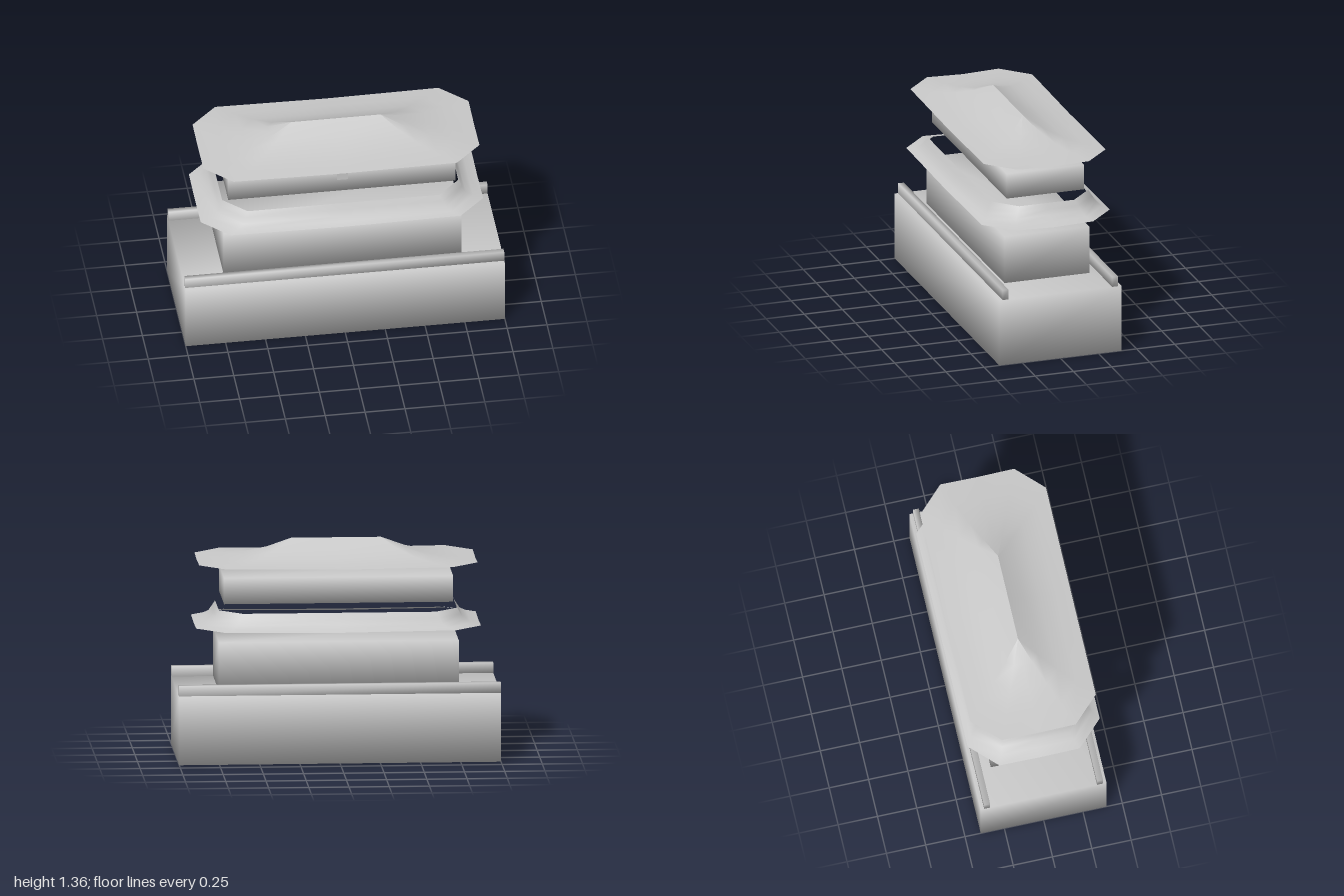
import * as THREE from 'three';
import { mergeVertices } from 'three/addons/utils/BufferGeometryUtils.js';

const stone = new THREE.MeshStandardMaterial({ color: 0xc8c8c8 });
stone.name = 'paleGrey';
const sheet = new THREE.MeshStandardMaterial({ color: 0xc8c8c8, side: THREE.DoubleSide });
sheet.name = 'paleGreySheet';

function addMesh(group, name, geometry, material = stone) {
  const mesh = new THREE.Mesh(geometry, material);
  mesh.name = name;
  group.add(mesh);
  return mesh;
}

// Box with normals shared across its edges, standing from y0 to y1
function softBox(width, y0, y1, depth, z = 0) {
  let g = new THREE.BoxGeometry(width, y1 - y0, depth);
  g.deleteAttribute('normal');
  g.deleteAttribute('uv');
  g = mergeVertices(g);
  g.computeVertexNormals();
  return g.translate(0, (y0 + y1) / 2, z);
}

// Chamfered rectangle, with the middle of each side sagging a little
function octagon(hx, hz, cut, y, sag = 0) {
  const x = hx - cut, z = hz - cut;
  return [
    [hx, y - sag, 0], [hx, y, z], [x, y, hz],
    [0, y - sag, hz], [-x, y, hz], [-hx, y, z],
    [-hx, y - sag, 0], [-hx, y, -z], [-x, y, -hz],
    [0, y - sag, -hz], [x, y, -hz], [hx, y, -z],
  ];
}

// Smooth skin over a stack of rings, listed from the eave upwards
function loft(rings) {
  const n = rings[0].length, index = [];
  for (let r = 0; r < rings.length - 1; r++) {
    for (let i = 0; i < n; i++) {
      const a = r * n + i, a2 = r * n + (i + 1) % n;
      index.push(a, a + n, a2, a2, a + n, a2 + n);
    }
  }
  const g = new THREE.BufferGeometry();
  g.setAttribute('position', new THREE.Float32BufferAttribute(rings.flat(2), 3));
  g.setIndex(index);
  g.computeVertexNormals();
  return g;
}

export function createModel() {
  const model = new THREE.Group();
  model.name = 'gateTower';

  // Base and its two parapets
  addMesh(model, 'base', softBox(2, 0, 0.43, 0.8));
  for (const side of [1, -1]) {
    addMesh(model, side > 0 ? 'frontParapet' : 'backParapet',
      softBox(2, 0.43, 0.495, 0.038, side * 0.359));
  }

  // Two storeys
  addMesh(model, 'lowerStorey', softBox(1.49, 0.44, 0.747, 0.556));
  addMesh(model, 'upperStorey', softBox(1.424, 0.985, 1.148, 0.506));

  // Blank plaque hung before the upper storey
  addMesh(model, 'plaque', new THREE.PlaneGeometry(0.07, 0.11), sheet)
    .position.set(0, 1.141, 0.28);

  // Lower roof: an open skirt with an underside along the eave
  const skirt = [
    octagon(0.885, 0.42, 0.165, 0.834, 0.008),
    octagon(0.825, 0.385, 0.155, 0.846, 0.005),
    octagon(0.78, 0.36, 0.145, 0.868),
    octagon(0.76, 0.34, 0.14, 0.9),
    octagon(0.74, 0.32, 0.14, 0.935),
  ];
  addMesh(model, 'lowerRoof', loft(skirt));
  const under = skirt.slice(0, 2).reverse()
    .map((ring) => ring.map(([x, y, z]) => [x, y - 0.003, z]));
  addMesh(model, 'lowerEaveUnderside', loft(under));

  // Upper roof: sweeps from the chamfered eave up to a straight ridge
  const ridge = 0.28;
  const heights = [[1, 1.228], [0.75, 1.236], [0.5, 1.254], [0.25, 1.293], [0, 1.355]];
  const rings = heights.map(([t, y]) => octagon(0.865, 0.4, 0.165, y, 0.008 * t * t)
    .map(([x, py, z]) => {
      const rx = Math.sign(x) * ridge;
      return [rx + (x - rx) * t, py, z * t];
    }));
  addMesh(model, 'upperRoof', loft(rings), sheet);

  return model;
}
